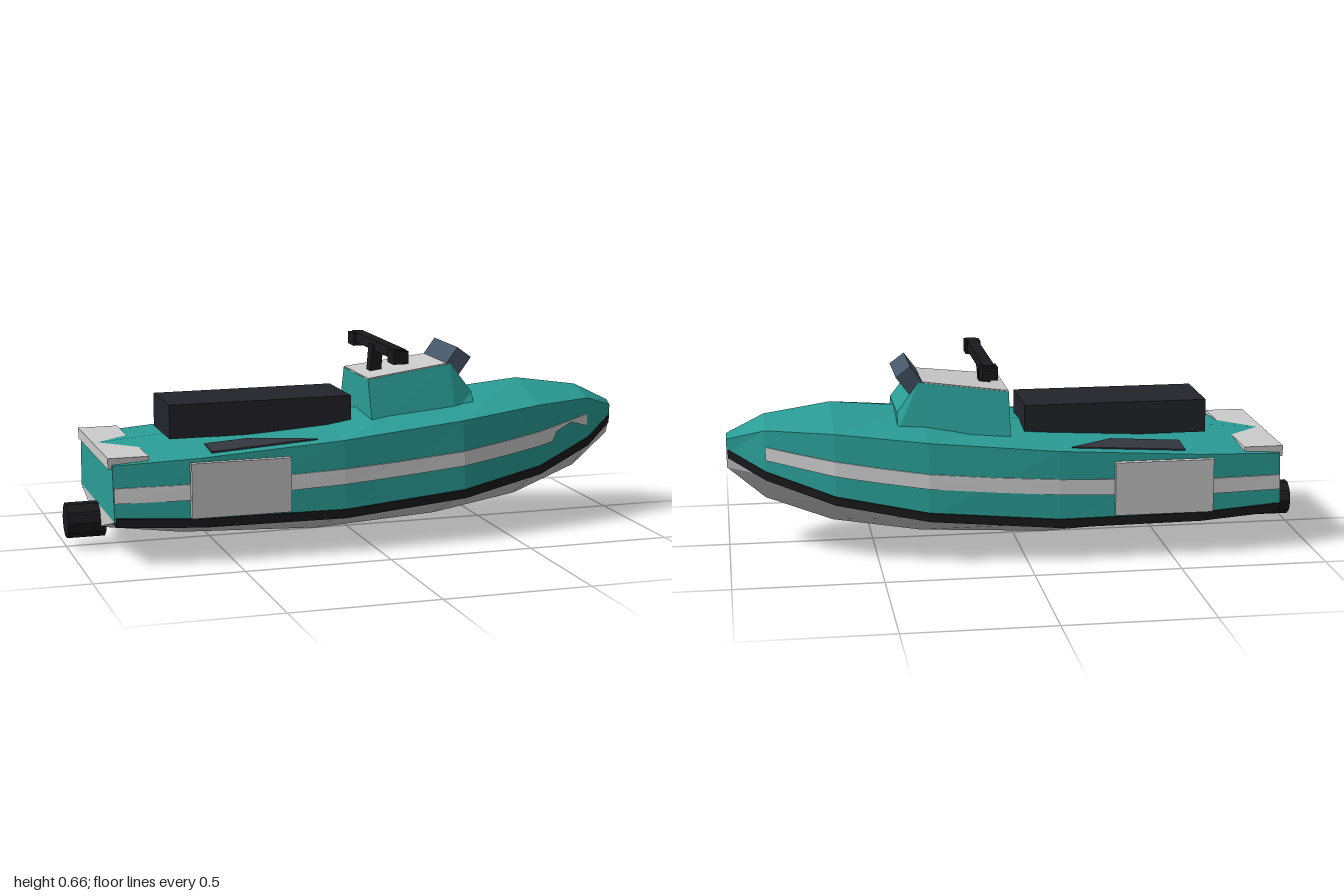
import * as THREE from 'three';

// Hull stations along x (bow at +x):
// x, rail half-width, rail y, shoulder half-width, shoulder y, deck ridge y, keel y
const STATIONS = [
  [-0.89, 0.31, 0.15, 0.287, 0.335, 0.358, 0.065],
  [-0.60, 0.343, 0.138, 0.32, 0.350, 0.381, 0.025],
  [-0.11, 0.350, 0.136, 0.327, 0.381, 0.408, 0.004],
  [0.33, 0.318, 0.167, 0.29, 0.416, 0.478, 0.028],
  [0.64, 0.24, 0.215, 0.215, 0.44, 0.505, 0.08],
  [0.87, 0.13, 0.283, 0.115, 0.437, 0.47, 0.17],
  [1.0, 0.026, 0.34, 0.027, 0.39, 0.405, 0.283],
];

const paint = (color) => new THREE.MeshStandardMaterial({ color, flatShading: true });
const grey = paint(0xcccccc);
const teal = paint(0x2a9d96);
const black = paint(0x1a1a1c);
const seatDark = paint(0x24252b);
const padDark = paint(0x34363e);
const slate = paint(0x46566a);

// Station values interpolated at any x
function stationAt(x) {
  let i = 0;
  while (i < STATIONS.length - 2 && x > STATIONS[i + 1][0]) i++;
  const a = STATIONS[i], b = STATIONS[i + 1];
  const t = (x - a[0]) / (b[0] - a[0]);
  return a.map((v, k) => v + (b[k] - v) * t);
}

// Half-width of the topsides at a height, and height of the deck at a z
function sideZ(x, y) {
  const [, w, r, s, sh] = stationAt(x);
  return w + (s - w) * (y - r) / (sh - r);
}
function deckY(x, z) {
  const [, , , s, sh, ridge] = stationAt(x);
  return ridge + (sh - ridge) * Math.abs(z) / s;
}

// Capped loft through closed rings of [x, y, z]; rings run from bottom via +z to top
function loft(rings) {
  const out = [];
  const n = rings[0].length;
  const tri = (a, b, c) => out.push(...a, ...b, ...c);
  for (let i = 0; i < rings.length - 1; i++) {
    const a = rings[i], b = rings[i + 1];
    for (let j = 0; j < n; j++) {
      const k = (j + 1) % n;
      tri(a[j], b[j], b[k]);
      tri(a[j], b[k], a[k]);
    }
  }
  const first = rings[0], last = rings[rings.length - 1];
  for (let j = 1; j < n - 1; j++) {
    tri(first[0], first[j], first[j + 1]);
    tri(last[0], last[j + 1], last[j]);
  }
  const g = new THREE.BufferGeometry();
  g.setAttribute('position', new THREE.Float32BufferAttribute(out, 3));
  g.computeVertexNormals();
  return g;
}

// Symmetric four-sided ring: bottom and top half-widths
const trapezoid = (x, y0, w0, y1, w1) => [[x, y0, w0], [x, y1, w1], [x, y1, -w1], [x, y0, -w0]];

export function createModel() {
  const model = new THREE.Group();
  const add = (name, geometry, material, x = 0, y = 0, z = 0) => {
    const mesh = new THREE.Mesh(geometry, material);
    mesh.name = name;
    mesh.position.set(x, y, z);
    model.add(mesh);
    return mesh;
  };
  // Box given by its limits on each axis
  const box = (name, material, [x0, x1], [y0, y1], [z0, z1]) =>
    add(name, new THREE.BoxGeometry(x1 - x0, y1 - y0, z1 - z0), material,
      (x0 + x1) / 2, (y0 + y1) / 2, (z0 + z1) / 2);

  // V-shaped lower hull, deck shell and rub rail
  add('lowerHull', loft(STATIONS.map(([x, w, r, , , , k]) =>
    [[x, k, 0], [x, r, w], [x, r, -w]])), grey);
  add('upperHull', loft(STATIONS.map(([x, w, r, s, sh, ridge]) =>
    [[x, r, w], [x, sh, s], [x, ridge, 0], [x, sh, -s], [x, r, -w]])), teal);
  add('rubRail', loft(STATIONS.map(([x, w, r], i) => {
    const inset = i === 0 ? 0.004 : i === STATIONS.length - 1 ? -0.004 : 0;
    return trapezoid(x + inset, r - 0.016, w + 0.005, r + 0.014, w + 0.005);
  })), black);

  // Side stripes: x, lower y, upper y; the left one is notched near the bow
  const stripe = [[-0.888, 0.212, 0.262], [-0.6, 0.214, 0.266], [-0.3, 0.226, 0.278],
    [-0.11, 0.234, 0.286], [0.1, 0.246, 0.296], [0.33, 0.262, 0.312], [0.5, 0.28, 0.33], [0.64, 0.298, 0.348]];
  const plainBow = [[0.75, 0.316, 0.363], [0.87, 0.336, 0.381]];
  const notchedBow = [[0.70, 0.306, 0.356], [0.72, 0.338, 0.359], [0.79, 0.362, 0.369], [0.87, 0.337, 0.381]];
  for (const side of [1, -1]) {
    const rows = [...stripe, ...(side > 0 ? notchedBow : plainBow)];
    add(side > 0 ? 'leftStripe' : 'rightStripe', loft(rows.map(([x, lo, hi]) => {
      const zLo = sideZ(x, lo), zHi = sideZ(x, hi);
      const ring = [[x, lo, zLo + 0.005], [x, hi, zHi + 0.005], [x, hi, zHi - 0.01], [x, lo, zLo - 0.01]]
        .map(([px, py, pz]) => [px, py, pz * side]);
      return side > 0 ? ring : ring.reverse();
    })), grey);
  }

  // Side plates
  for (const side of [1, -1]) {
    const z = [0.332, 0.354].map((v) => v * side).sort((a, b) => a - b);
    box(side > 0 ? 'leftSidePlate' : 'rightSidePlate', grey, [-0.64, -0.30], [0.155, 0.34], z);
  }

  // Dark foot pads lying on the deck
  const footPad = (name, outline) => {
    const ring = (lift) => outline.map(([x, z]) => [x, deckY(x, z) + lift, z]);
    const top = ring(0.005), low = ring(-0.01);
    const pos = [];
    for (let j = 0; j < 4; j++) {
      const k = (j + 1) % 4;
      pos.push(...low[j], ...low[k], ...top[k], ...low[j], ...top[k], ...top[j]);
    }
    pos.push(...top[0], ...top[1], ...top[2], ...top[0], ...top[2], ...top[3]);
    const g = new THREE.BufferGeometry();
    g.setAttribute('position', new THREE.Float32BufferAttribute(pos, 3));
    g.computeVertexNormals();
    add(name, g, padDark);
  };
  footPad('leftFootPad', [[-0.555, 0.282], [-0.19, 0.282], [-0.40, 0.183], [-0.555, 0.183]]);
  footPad('rightFootPad', [[-0.555, -0.19], [-0.31, -0.19], [-0.16, -0.29], [-0.555, -0.285]]);

  // Stern platform, seat and jet nozzle
  box('sternPlatform', grey, [-0.902, -0.765], [0.322, 0.3585], [-0.276, 0.276]);
  box('seat', seatDark, [-0.662, -0.022], [0.38, 0.496], [-0.126, 0.126]);
  const nozzle = add('jetNozzle', new THREE.CylinderGeometry(0.061, 0.061, 0.13, 10), black, -0.935, 0.095, 0);
  nozzle.rotation.z = Math.PI / 2;

  // Steering cowl with its top panel and tilted windscreen
  add('cowl', loft([
    trapezoid(0.035, 0.39, 0.192, 0.55, 0.14),
    trapezoid(0.345, 0.42, 0.172, 0.587, 0.118),
    trapezoid(0.42, 0.43, 0.165, 0.487, 0.13),
  ]), teal);
  add('cowlPanel', loft([
    trapezoid(0.036, 0.54, 0.138, 0.554, 0.138),
    trapezoid(0.335, 0.575, 0.117, 0.590, 0.117),
  ]), grey);
  const screen = add('windscreen', new THREE.BoxGeometry(0.062, 0.074, 0.236), slate, 0.374, 0.596, 0);
  screen.rotation.z = -0.64;

  // Handlebar
  const post = box('handlebarPost', black, [0.085, 0.125], [0.545, 0.65], [-0.022, 0.022]);
  post.rotation.z = -0.08;
  box('handlebar', black, [0.098, 0.136], [0.63, 0.666], [-0.24, 0.24]);
  for (const side of [1, -1]) {
    const z = [0.19, 0.256].map((v) => v * side).sort((a, b) => a - b);
    box(side > 0 ? 'leftGrip' : 'rightGrip', black, [0.088, 0.142], [0.617, 0.661], z);
  }
  return model;
}
